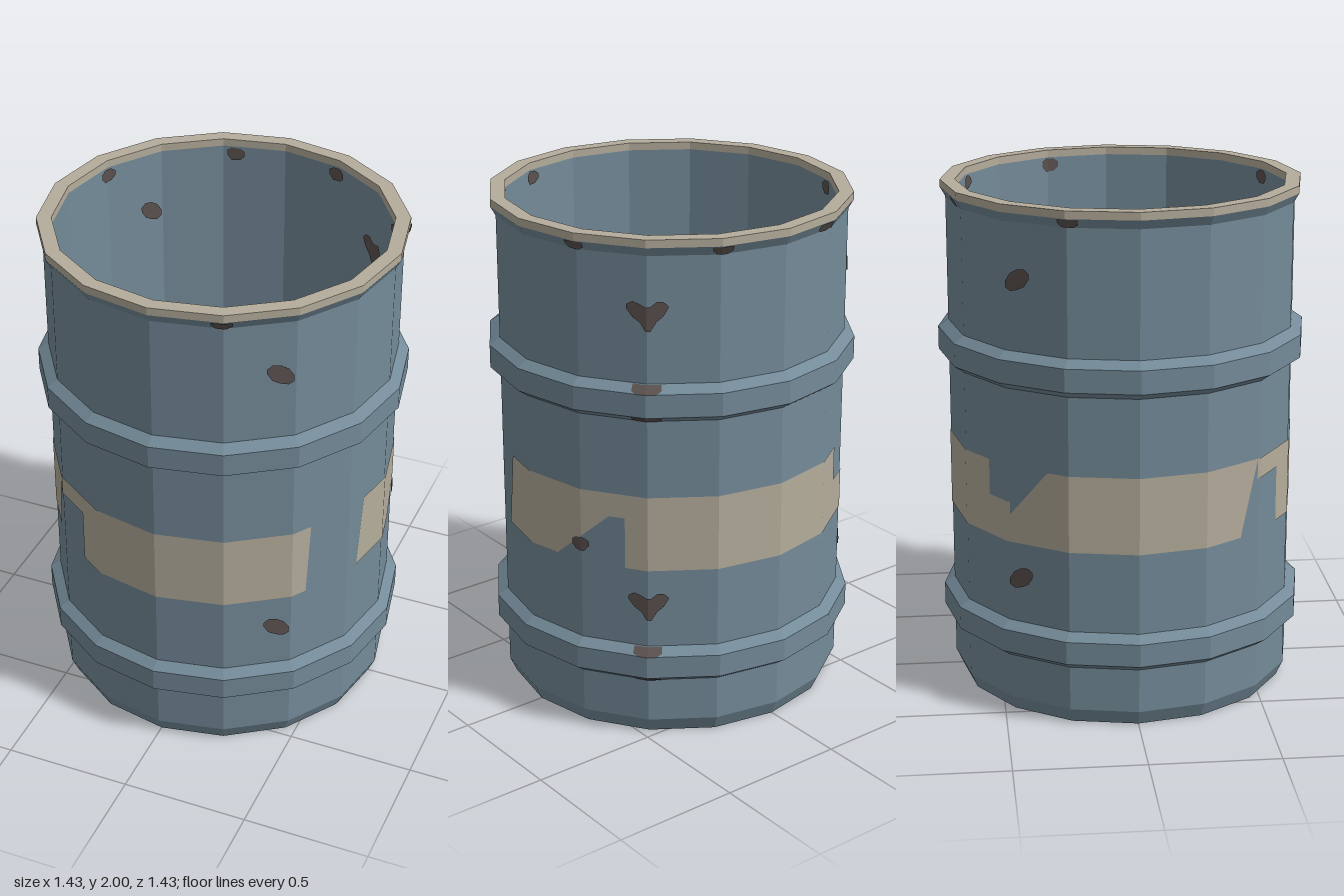
import * as THREE from 'three';

const SIDES = 16;
const WALL = 0.677, INNER = 0.64, RIB = 0.717, RIM = 0.697;
const RIBS = [0.308, 1.378];

// Flat-shaded 16-sided ring from a list of [radius, height] points
function ring(name, profile, material) {
  const lathe = new THREE.LatheGeometry(profile.map(p => new THREE.Vector2(...p)), SIDES);
  const geometry = lathe.toNonIndexed();
  geometry.computeVertexNormals();
  const mesh = new THREE.Mesh(geometry, material);
  mesh.name = name;
  return mesh;
}

// Point on the faceted wall; the angle starts at the front and turns towards +x
function wallPoint(deg, y, radius) {
  const step = 360 / SIDES;
  const local = ((deg % step) + step) % step - step / 2;
  const r = radius * Math.cos(Math.PI / SIDES) / Math.cos(THREE.MathUtils.degToRad(local));
  const a = THREE.MathUtils.degToRad(deg);
  return [r * Math.sin(a), y, r * Math.cos(a)];
}

// Thin paint layer following the facets, from columns [angle, low, high]
function skin(name, columns, radiusAt, material) {
  const step = 360 / SIDES, cols = [];
  columns.forEach((c, i) => {
    cols.push(c);
    const n = columns[i + 1];
    if (!n) return;
    for (let a = (Math.floor(c[0] / step) + 1) * step; a < n[0]; a += step) {
      const t = (a - c[0]) / (n[0] - c[0]);
      cols.push([a, c[1] + (n[1] - c[1]) * t, c[2] + (n[2] - c[2]) * t]);
    }
  });
  const pos = [];
  for (let i = 0; i < cols.length - 1; i++) {
    const [a, b] = [cols[i], cols[i + 1]];
    if (b[0] - a[0] < 1e-6) continue;
    const p = (c, k) => wallPoint(c[0], c[k], radiusAt(c[k]));
    const quad = [p(a, 1), p(b, 1), p(b, 2), p(a, 2)];
    for (const k of [0, 1, 2, 0, 2, 3]) pos.push(...quad[k]);
  }
  const geometry = new THREE.BufferGeometry();
  geometry.setAttribute('position', new THREE.Float32BufferAttribute(pos, 3));
  geometry.computeVertexNormals();
  const mesh = new THREE.Mesh(geometry, material);
  mesh.name = name;
  return mesh;
}

// Worn stripe outline: [angle, low, high], with its chips and gap
const STRIPE = [
  [72.8, 0.7, 0.7], [76.3, 0.7, 1], [102, 0.7, 1], [122, 0.905, 1], [127.4, 0.905, 1],
  [127.4, 0.7, 1], [215.6, 0.7, 1], [215.6, 0.7, 0.86], [226, 0.7, 0.86], [226, 0.7, 0.81],
  [240, 0.7, 1], [307, 0.7, 1], [314, 1, 1], [314, 0.92, 1], [328, 0.92, 1],
  [328, 0.7, 1], [410.5, 0.7, 1], [412, 1, 1],
];

// Rust shapes: [angle offset, low, high] about a centre
const BLOB = [[-4.2, 0.01, 0.03], [-2.5, -0.02, 0.045], [0, -0.035, 0.042], [2.5, -0.042, 0.025], [4.2, -0.03, -0.005]];
const HEART = [[-6.5, 0.025, 0.04], [-4.5, -0.005, 0.055], [-2, -0.025, 0.045], [-0.5, -0.055, 0.035],
  [1, -0.058, 0.035], [3, -0.02, 0.055], [5, 0, 0.055], [6.5, 0.03, 0.04]];
const CHIP = [[-3.2, -0.008, 0.012], [-1.5, -0.025, 0.025], [1.5, -0.028, 0.027], [3.2, -0.005, 0.015]];
const EDGE = [[-3.2, 0.002, 0.016], [-2, -0.015, 0.017], [1.5, -0.017, 0.017], [3.2, -0.004, 0.016]];
const BAND = [[-4.5, -0.006, 0.013], [-3, -0.013, 0.013], [3, -0.013, 0.013], [4.5, -0.004, 0.013]];

const place = (shape, deg, y, flip = false) => {
  const cols = shape.map(([a, lo, hi]) => [deg + (flip ? -a : a), y + lo, y + hi]);
  return flip ? cols.reverse() : cols;
};

export function createModel() {
  const blue = new THREE.MeshStandardMaterial({ color: 0x748b99 });
  blue.name = 'blueMetal';
  const cream = new THREE.MeshStandardMaterial({ color: 0xb5ad9c, side: THREE.DoubleSide });
  cream.name = 'creamPaint';
  const rust = new THREE.MeshStandardMaterial({ color: 0x5b524f, side: THREE.DoubleSide });
  rust.name = 'rust';

  const barrel = new THREE.Group();
  barrel.name = 'barrel';

  // Outer shell with chamfered foot and flared lip
  barrel.add(ring('outerShell', [[0, 0], [0.65, 0], [WALL, 0.06], [WALL, 1.935], [RIM, 1.97]], blue));
  barrel.add(ring('innerWall', [[INNER, 1.97], [INNER, 0.06]], blue));
  barrel.add(ring('innerFloor', [[INNER, 0.06], [0, 0.06]], rust));
  barrel.add(ring('rim', [[RIM, 1.97], [RIM, 2], [INNER, 2], [INNER, 1.97]], cream));

  // Raised hoops
  for (const y of RIBS) {
    barrel.add(ring('hoop', [[WALL, y - 0.073], [RIB, y - 0.045], [RIB, y + 0.045], [WALL, y + 0.073]], blue));
  }

  // Worn stripe, outside and inside
  barrel.add(skin('stripe', STRIPE, () => WALL + 0.003, cream));
  barrel.add(skin('innerStripe', STRIPE, () => INNER - 0.003, cream));

  // Rust on the wall, repeated on the inside
  const spots = [place(CHIP, 112, 0.775)];
  for (const y of [1.72, 0.56]) {
    spots.push(place(BLOB, 40, y), place(BLOB, 230, y, true), place(HEART, 135, y - 0.01));
  }
  for (const spot of spots) {
    barrel.add(skin('rustSpot', spot, () => WALL + 0.006, rust));
    barrel.add(skin('innerRustSpot', spot, () => INNER - 0.006, rust));
  }

  // Rust under the lip
  const flare = y => WALL + (RIM - WALL) * (y - 1.935) / 0.035 + 0.005;
  for (const deg of [22, 112, 158, 198, 248]) {
    barrel.add(skin('lipRust', place(EDGE, deg, 1.952), flare, rust));
    barrel.add(skin('innerLipRust', place(CHIP, deg, 1.94), () => INNER - 0.006, rust));
  }

  // Rust on the sloped edges of the hoops
  for (const y of RIBS) {
    const slope = h => WALL + (RIB - WALL) * (0.073 - Math.abs(h - y)) / 0.028 + 0.005;
    for (const s of [-1, 1]) {
      barrel.add(skin('hoopRust', place(BAND, 135, y + s * 0.059), slope, rust));
    }
  }
  return barrel;
}
